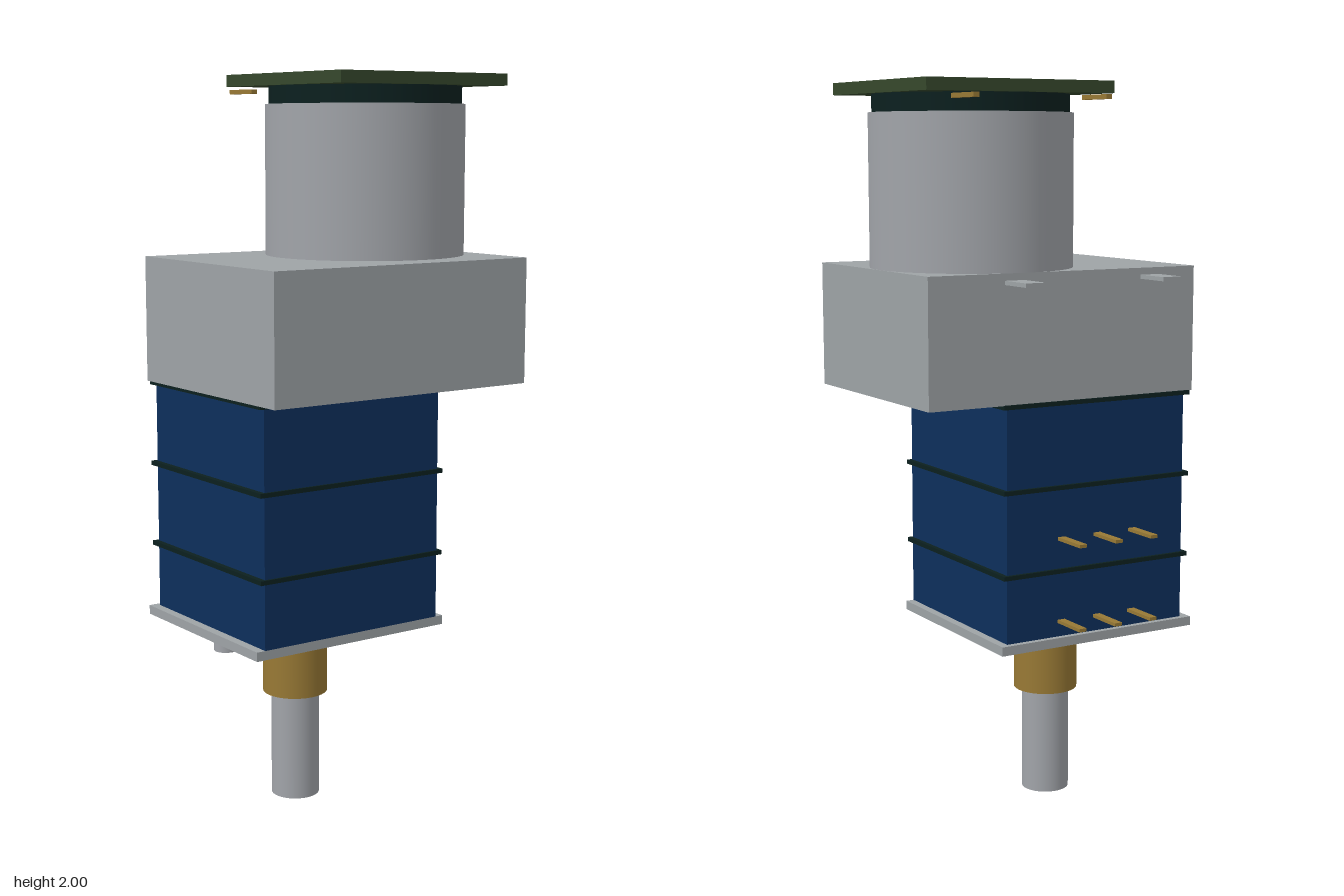
import * as THREE from 'three';

const mat = (name, color) => {
  const m = new THREE.MeshStandardMaterial({ color });
  m.name = name;
  return m;
};

export function createModel() {
  const model = new THREE.Group();
  model.name = 'motorisedRotaryControl';

  const castGrey = mat('cast grey', 0x9ea3a6);
  const steel = mat('steel', 0xa1a4a9);
  const brass = mat('brass', 0x987935);
  const blue = mat('blue', 0x0d2f5c);
  const boardGreen = mat('board green', 0x36482c);
  const darkGreen = mat('dark green', 0x0c201f);

  // Box given by its minimum and maximum along each axis
  const box = (name, material, [x0, x1], [y0, y1], [z0, z1]) => {
    const mesh = new THREE.Mesh(new THREE.BoxGeometry(x1 - x0, y1 - y0, z1 - z0), material);
    mesh.position.set((x0 + x1) / 2, (y0 + y1) / 2, (z0 + z1) / 2);
    mesh.name = name;
    model.add(mesh);
  };

  // Upright cylinder between two heights
  const cylinder = (name, material, r, x, z, y0, y1) => {
    const mesh = new THREE.Mesh(new THREE.CylinderGeometry(r, r, y1 - y0, 64), material);
    mesh.position.set(x, (y0 + y1) / 2, z);
    mesh.name = name;
    model.add(mesh);
  };

  // Flat terminal sticking out of the back
  const terminal = (name, material, x, y, width, thickness) =>
    box(name, material, [x - width / 2, x + width / 2],
      [y - thickness / 2, y + thickness / 2], [-0.37, -0.255]);

  // Shaft, threaded collar and locating pin
  const shaftX = -0.106, midZ = 0.006;
  cylinder('shaft', steel, 0.067, shaftX, midZ, 0, 0.51);
  cylinder('collar', brass, 0.09, shaftX, midZ, 0.3, 0.455);
  cylinder('locatingPin', steel, 0.033, -0.333, midZ, 0.455, 0.51);

  // Mounting plate
  box('mountingPlate', castGrey, [-0.41, 0.2], [0.503, 0.528], [-0.277, 0.28]);

  // Stacked blue sections with thin wafers between them
  const levels = [0.528, 0.71, 0.938, 1.165];
  for (let i = 0; i < 3; i++) {
    box('section', blue, [-0.385, 0.177], [levels[i], levels[i + 1]], [-0.261, 0.28]);
    const y = levels[i + 1];
    box('wafer', darkGreen, [-0.4, 0.19], [y - 0.006, y + 0.006], [-0.27, 0.286]);
  }

  // Gearbox
  box('gearbox', castGrey, [-0.41, 0.408], [1.17, 1.512], [-0.266, 0.367]);

  // Motor can, end cap and circuit board
  cylinder('motorCan', steel, 0.274, 0.132, 0.005, 1.512, 1.92);
  cylinder('motorCap', darkGreen, 0.264, 0.132, 0.005, 1.92, 1.97);
  box('circuitBoard', boardGreen, [-0.144, 0.408], [1.968, 2], [-0.267, 0.275]);

  // Two rows of three section terminals
  for (const y of [0.57, 0.798])
    for (const x of [-0.218, -0.105, 0.008]) terminal('sectionTerminal', brass, x, y, 0.022, 0.009);

  // Gearbox tabs and board pins
  for (const x of [-0.264, 0.156]) terminal('gearboxTab', castGrey, x, 1.488, 0.058, 0.011);
  for (const x of [-0.06, 0.325]) terminal('boardPin', brass, x, 1.956, 0.017, 0.012);

  return model;
}
